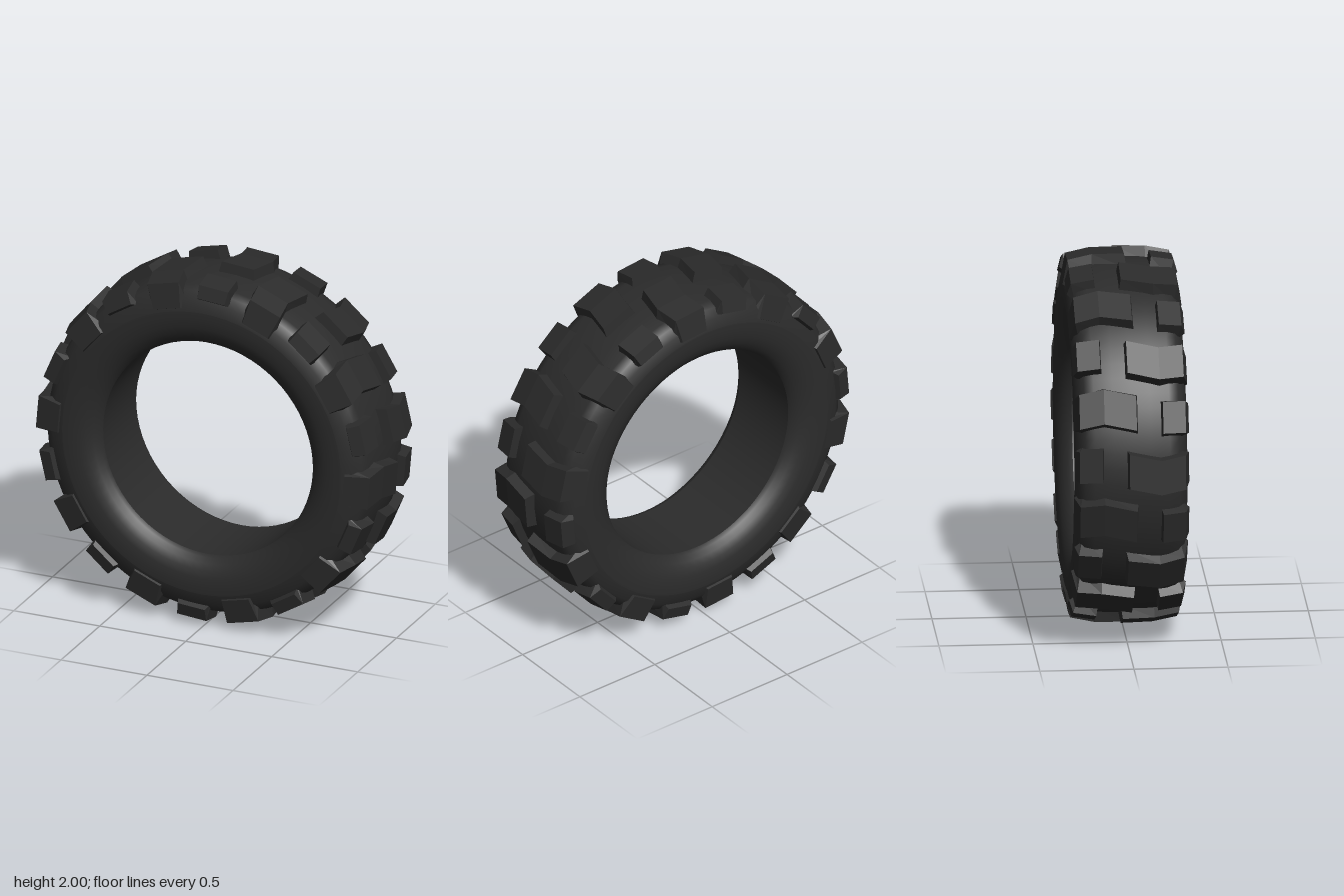
import * as THREE from 'three';

const rubber = new THREE.MeshStandardMaterial({ color: 0x2b2b2b });
rubber.name = 'black rubber';
const lugRubber = rubber.clone();
lugRubber.name = 'black rubber tread';
lugRubber.flatShading = true;

const DEG = Math.PI / 180;
const ROWS = 10;

// Smooth ring turned around the z axis from [radius, z] points
function ring(name, points) {
  const curve = points.map(([r, z]) => new THREE.Vector2(r, z));
  const geometry = new THREE.LatheGeometry(curve, 72);
  geometry.rotateX(Math.PI / 2);
  const mesh = new THREE.Mesh(geometry, rubber);
  mesh.name = name;
  return mesh;
}

// Tapered tread block lofted along z.
// Each station: top radius, top z, base radius, base z, sideways shift, half width
function lugGeometry(stations) {
  const pos = [];
  const index = [];
  for (const [rt, zt, rb, zb, shift, w] of stations) {
    const b = w + 0.012;
    pos.push(rt, shift - w, zt, rt, shift + w, zt, rb, shift + b, zb, rb, shift - b, zb);
  }
  for (let i = 0; i < stations.length - 1; i++) {
    for (let k = 0; k < 4; k++) {
      const a = i * 4 + k, b = i * 4 + (k + 1) % 4;
      index.push(a, b, b + 4, a, b + 4, a + 4);
    }
  }
  const e = (stations.length - 1) * 4;
  index.push(0, 2, 1, 0, 3, 2, e, e + 1, e + 2, e, e + 2, e + 3);
  const indexed = new THREE.BufferGeometry();
  indexed.setAttribute('position', new THREE.Float32BufferAttribute(pos, 3));
  indexed.setIndex(index);
  const geometry = indexed.toNonIndexed();
  geometry.computeVertexNormals();
  return geometry;
}

// Long chevron block that reaches the middle of the tread
const longLug = lugGeometry([
  [0.997, -0.02, 0.92, -0.032, 0.0, 0.093],
  [0.988, 0.15, 0.91, 0.15, 0.038, 0.093],
  [0.965, 0.28, 0.86, 0.26, 0.015, 0.093],
  [0.83, 0.306, 0.82, 0.28, 0.012, 0.08],
]);

// Short block on the shoulder
const shortLug = lugGeometry([
  [0.98, 0.162, 0.91, 0.15, 0.025, 0.085],
  [0.96, 0.283, 0.86, 0.26, 0.02, 0.085],
  [0.89, 0.303, 0.87, 0.27, 0.02, 0.078],
]);

// One half of the tread: long and short blocks in turn
function treadHalf(name) {
  const half = new THREE.Group();
  half.name = name;
  for (let i = 0; i < ROWS; i++) {
    const long = new THREE.Mesh(longLug, lugRubber);
    long.name = 'longTreadBlock';
    long.rotation.z = (-5 + 36 * i) * DEG;
    const short = new THREE.Mesh(shortLug, lugRubber);
    short.name = 'shortTreadBlock';
    short.rotation.z = (13 + 36 * i) * DEG;
    half.add(long, short);
  }
  return half;
}

export function createModel() {
  const model = new THREE.Group();
  model.name = 'tire';
  const wheel = new THREE.Group();
  wheel.name = 'tireBody';
  wheel.position.y = 1;
  model.add(wheel);

  // Carcass: crown, two rounded sidewalls and the bore
  const shoulder = [[0.945, 0], [0.942, 0.1], [0.932, 0.2], [0.915, 0.25], [0.87, 0.284], [0.81, 0.298]];
  const side = [[0.81, 0.298], [0.77, 0.3], [0.72, 0.294], [0.68, 0.281], [0.645, 0.26], [0.62, 0.235], [0.61, 0.212]];
  const flip = (pts) => pts.map(([r, z]) => [r, -z]).reverse();
  wheel.add(
    ring('crown', [...flip(shoulder.slice(1)), ...shoulder]),
    ring('frontSidewall', side),
    ring('backSidewall', flip(side)),
    ring('bore', [[0.61, 0.212], [0.61, -0.212]]),
  );

  // Tread: the back half is the front half turned over and staggered
  const back = treadHalf('backTread');
  back.rotation.set(Math.PI, 0, -8 * DEG);
  wheel.add(treadHalf('frontTread'), back);
  return model;
}
